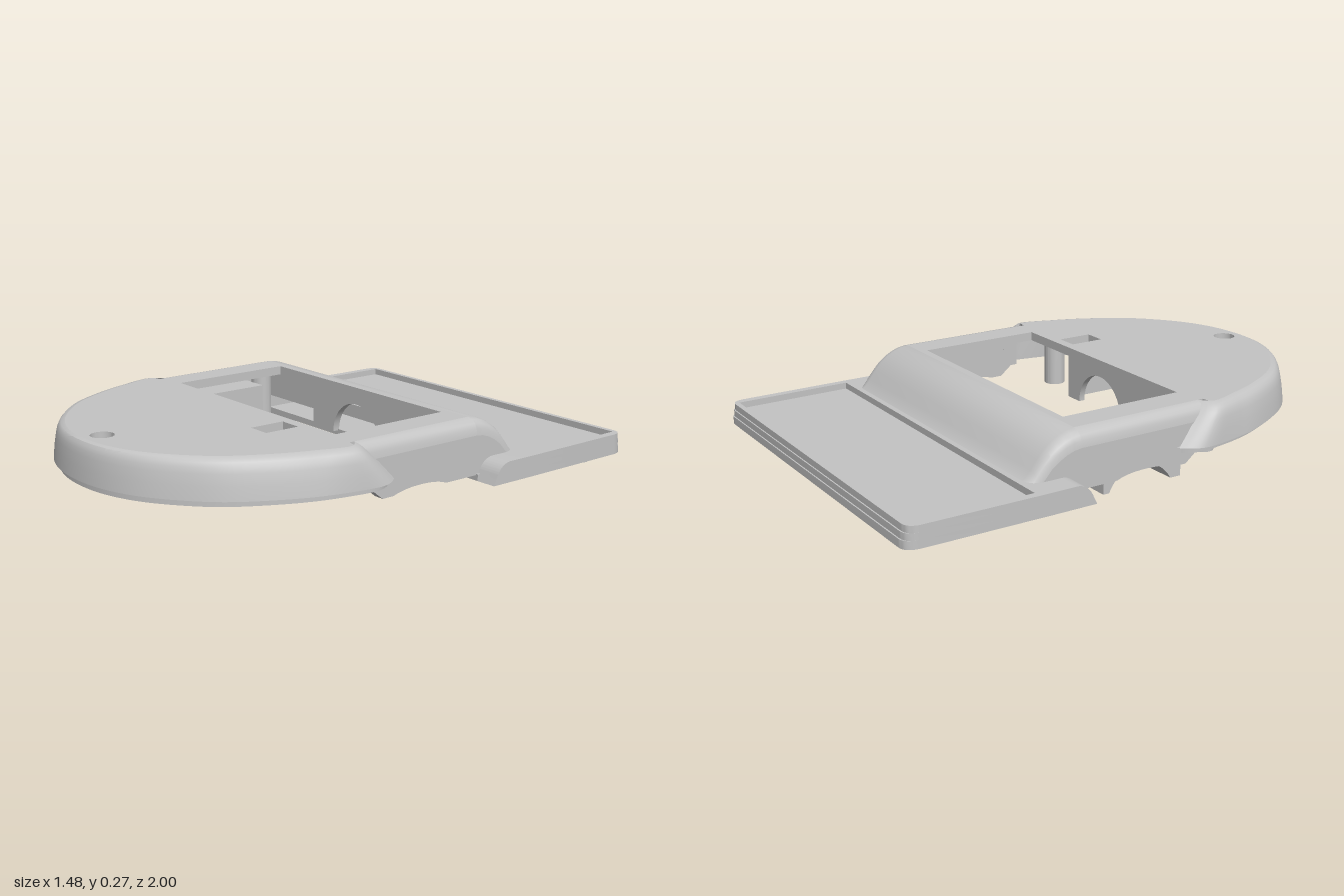
import * as THREE from 'three';
import { toCreasedNormals } from 'three/addons/utils/BufferGeometryUtils.js';

export function createModel() {
  const model = new THREE.Group();
  const grey = new THREE.MeshStandardMaterial({ color: 0xc4c4c4, side: THREE.DoubleSide });
  grey.name = 'grey plastic';

  const add = (name, geo) => {
    const mesh = new THREE.Mesh(toCreasedNormals(geo, 0.55), grey);
    mesh.name = name;
    model.add(mesh);
    return mesh;
  };
  const poly = (pts) => new THREE.Shape(pts.map(([a, b]) => new THREE.Vector2(a, b)));
  const rect = (x0, z0, x1, z1) => poly([[x0, z0], [x1, z0], [x1, z1], [x0, z1]]);
  const disc = (x, z, r) => new THREE.Shape().absarc(x, z, r, 0, Math.PI * 2);
  const extrude = (shape, depth) =>
    new THREE.ExtrudeGeometry(shape, { depth, bevelEnabled: false, curveSegments: 20 });
  // plan shape (x, z) raised from y0 to y1
  const slab = (name, shape, y0, y1, holes = []) => {
    shape.holes.push(...holes);
    return add(name, extrude(shape, y1 - y0).rotateX(Math.PI / 2).translate(0, y1, 0));
  };
  // side profile (z, y) from x0 to x1
  const sideways = (name, shape, x0, x1) =>
    add(name, extrude(shape, x1 - x0).rotateY(-Math.PI / 2).translate(x1, 0, 0));
  const box = (name, x0, x1, y0, y1, z0, z1) =>
    add(name, new THREE.BoxGeometry(x1 - x0, y1 - y0, z1 - z0)
      .translate((x0 + x1) / 2, (y0 + y1) / 2, (z0 + z1) / 2));
  // surface through rows of [x, y, z] points
  const loft = (name, rows) => {
    const n = rows[0].length, index = [];
    for (let i = 0; i < rows.length - 1; i++)
      for (let j = 0; j < n - 1; j++) {
        const a = i * n + j, b = a + n;
        index.push(a, b, a + 1, a + 1, b, b + 1);
      }
    const geo = new THREE.BufferGeometry();
    geo.setAttribute('position', new THREE.Float32BufferAttribute(rows.flat(2), 3));
    geo.setIndex(index);
    return add(name, geo);
  };

  // Rounded nose outline, flaring out just ahead of the waist
  const half = [[0.662, 0.13], [0.69, 0.165], [0.709, 0.215], [0.697, 0.33], [0.662, 0.47], [0.6, 0.61],
    [0.52, 0.74], [0.42, 0.84], [0.29, 0.93], [0.15, 0.983]];
  const nose = [...half, [0, 1], ...half.slice().reverse().map(([x, z]) => [-x, z])];
  const noseCurve = new THREE.CatmullRomCurve3(nose.map(([x, z]) => new THREE.Vector3(x, 0, z)));
  const outline = noseCurve.getPoints(80);
  const ring = (y, inset) => outline.map((p) => {
    const lean = Math.max(0, y - 0.13) * 0.9 * Math.max(0, 1 - (p.z - 0.13) / 0.3);
    return [p.x * (1 - inset / 0.7), y, 0.1 + (p.z - 0.1) * (1 - inset / 1.6) + lean];
  });
  loft('noseShell', [[0.13, 0], [0.18, 0.008], [0.22, 0.018], [0.24, 0.025], [0.255, 0.035], [0.265, 0.048],
    [0.27, 0.07], [0.235, 0.07], [0.225, 0.06], [0.105, 0.055], [0.105, 0.03], [0.13, 0.03], [0.13, 0]]
    .map(([y, d]) => ring(y, d)));

  // Top plate with display window, small opening and screw recess
  const edge = ring(0.27, 0.07).map(([x, , z]) => [x, z]).filter(([, z]) => z > 0.285);
  slab('topPlate', poly([[0.6, -0.28], [0.6, 0.28], ...edge, [-0.6, 0.28], [-0.6, -0.28]]), 0.235, 0.27,
    [rect(-0.49, -0.25, 0.49, 0.25), rect(0.24, 0.29, 0.33, 0.43), disc(0, 0.89, 0.043)]);
  slab('frontScrewBoss', disc(0, 0.89, 0.05), 0.12, 0.235, [disc(0, 0.89, 0.018)]);

  // Rounded shoulders beside the window and the curved rear slope
  const fillet = (h, z) => [[0.65, -0.06], [0.646, -0.036], [0.638, -0.018], [0.622, -0.005], [0.6, 0]]
    .map(([x, d]) => [x, h + d, z]);
  const flip = (row) => row.map(([x, y, z]) => [-x, y, z]);
  const rightRows = [fillet(0.27, 0.26), fillet(0.27, -0.28)];
  loft('shoulder', rightRows);
  loft('shoulder', rightRows.map(flip));
  const slope = [[-0.28, 0.27], [-0.31, 0.266], [-0.34, 0.256], [-0.37, 0.24], [-0.4, 0.218],
    [-0.43, 0.185], [-0.455, 0.153], [-0.475, 0.13], [-0.495, 0.115]];
  loft('rearSlope', slope.map(([z, h]) => {
    const row = fillet(h, z);
    return [...row, ...flip(row).reverse()];
  }));

  // Side walls with a round axle notch
  const wall = poly([[0.25, 0.1], [0.22, 0.1], [0.17, 0.06], [0.12, 0.06]]);
  wall.quadraticCurveTo(0.07, 0.078, -0.01, 0.078);
  wall.quadraticCurveTo(-0.09, 0.078, -0.13, 0.06);
  [[-0.48, 0.06], [-0.475, 0.07], [-0.455, 0.093], [-0.43, 0.125], [-0.4, 0.158], [-0.37, 0.18],
    [-0.34, 0.196], [-0.31, 0.206], [-0.28, 0.21], [0.25, 0.21]].forEach(([z, y]) => wall.lineTo(z, y));
  sideways('sideWall', wall, 0.61, 0.65);
  sideways('sideWall', wall, -0.65, -0.61);

  // Axle bearing on one side
  const bearing = poly([[0.18, 0.2], [0.18, 0], [0.135, 0]]);
  bearing.quadraticCurveTo(0.09, 0.078, -0.01, 0.078);
  bearing.quadraticCurveTo(-0.1, 0.078, -0.135, 0);
  [[-0.16, 0], [-0.16, 0.2]].forEach(([z, y]) => bearing.lineTo(z, y));
  sideways('axleBearing', bearing, -0.61, -0.495);

  // Arched walls before and behind the window
  const arched = (left, right) => {
    const s = poly([...left, [-0.14, 0.06]]);
    s.absarc(0, 0.06, 0.14, Math.PI, 0, true);
    right.forEach(([x, y]) => s.lineTo(x, y));
    return s;
  };
  add('rearWindowWall', extrude(arched([[-0.61, 0.24], [-0.61, 0.13], [-0.27, 0.13], [-0.27, 0.06]],
    [[0.61, 0.06], [0.61, 0.24]]), 0.03).translate(0, 0, -0.285));
  add('frontWindowWall', extrude(arched([[-0.4, 0.24], [-0.4, 0.06]],
    [[0.22, 0.06], [0.22, 0.24]]), 0.025).translate(0, 0, 0.255));

  // Compartment and posts under the nose
  box('compartmentSide', -0.4, -0.38, 0.06, 0.24, 0.255, 0.785);
  box('compartmentSide', 0.2, 0.22, 0.06, 0.24, 0.255, 0.785);
  box('compartmentFront', -0.4, 0.22, 0.06, 0.24, 0.765, 0.785);
  for (const [x, z] of [[-0.56, 0.32], [0.42, 0.32], [-0.56, -0.2], [0.56, -0.2]])
    slab('screwPost', disc(x, z, 0.042), 0.06, 0.24, [disc(x, z, 0.018)]);

  // Rear tray: floor, rim around a shallow recess, arms and feet
  const trayBack = (back) => {
    const curve = new THREE.Path().moveTo(-0.737, -0.94);
    curve.quadraticCurveTo(-0.735, back, -0.69, back);
    curve.lineTo(0.69, back);
    curve.quadraticCurveTo(0.735, back, 0.737, -0.94);
    return curve.getPoints(8).map((p) => [p.x, p.y]);
  };
  const tray = (back) => poly([...trayBack(back), [0.742, -0.45], [-0.742, -0.45]]);
  const screws = (r) => [-0.665, 0.665].map((x) => disc(x, -0.83, r));
  slab('trayFloor', tray(-1), 0.04, 0.07, screws(0.018));
  slab('trayPanel', tray(-0.995), 0.07, 0.095, screws(0.036));
  slab('trayRim', poly([...trayBack(-0.99), [0.742, -0.51], [0.712, -0.51], [0.705, -0.97],
    [-0.705, -0.97], [-0.712, -0.51], [-0.742, -0.51]]), 0.095, 0.12);
  slab('trayRimFront', rect(-0.742, -0.51, 0.742, -0.45), 0.095, 0.12);
  slab('bodyFloor', rect(-0.66, -0.46, 0.66, -0.28), 0.04, 0.065);
  const arm = poly([[-0.46, 0.04], [-0.28, 0.04], [-0.295, 0.07]]);
  arm.quadraticCurveTo(-0.315, 0.117, -0.36, 0.12);
  arm.lineTo(-0.46, 0.12);
  sideways('trayArm', arm, 0.645, 0.742);
  sideways('trayArm', arm, -0.742, -0.645);
  for (const x of [-0.665, 0.665])
    slab('trayFoot', disc(x, -0.83, 0.033), 0.02, 0.04, [disc(x, -0.83, 0.018)]);
  add('underRidge', extrude(poly([[-0.335, 0.012], [0.335, 0.012], [0.352, 0.042], [-0.352, 0.042]]), 0.024)
    .translate(0, 0, -0.675));

  return model;
}
